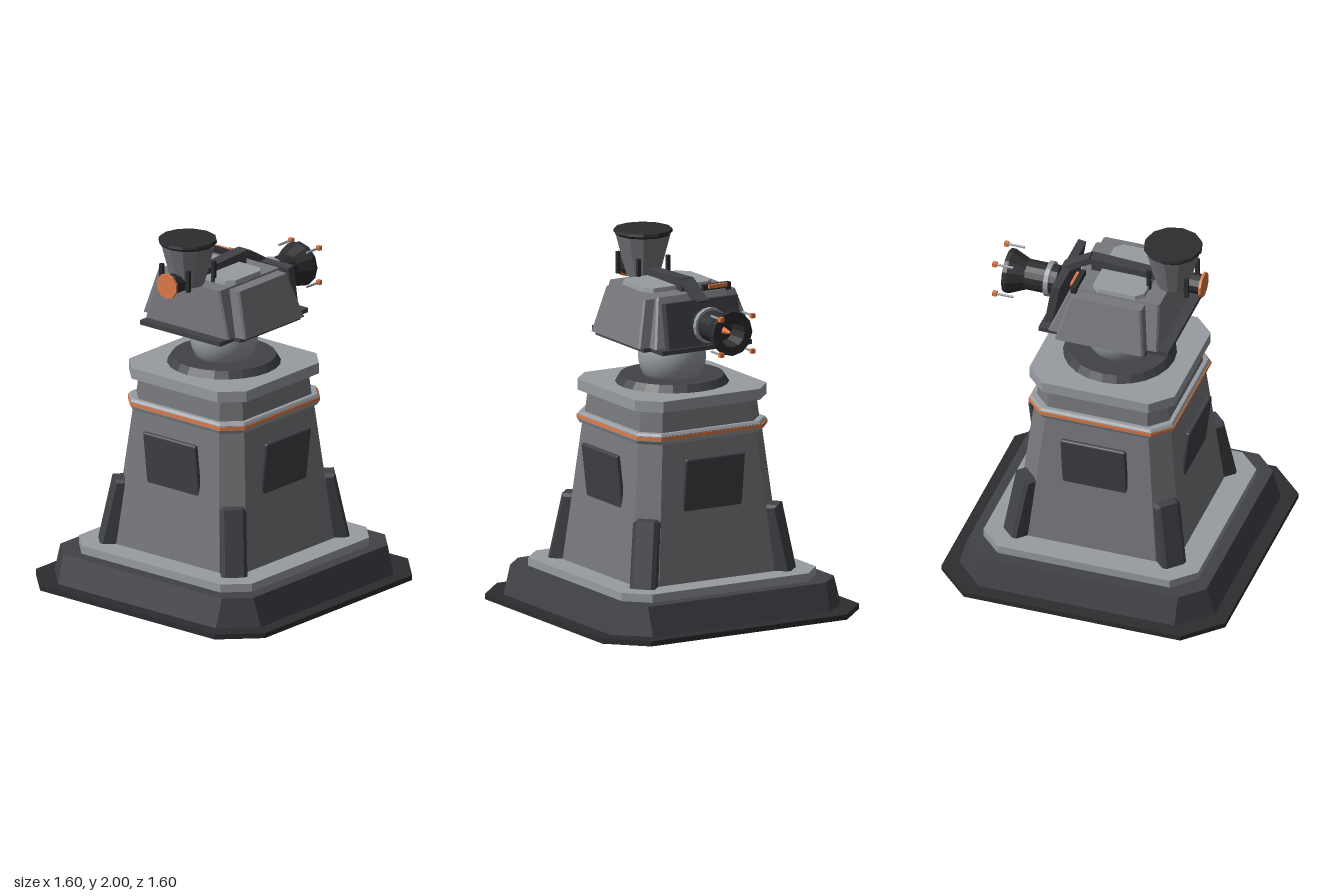
import * as THREE from 'three';
import { RoundedBoxGeometry } from 'three/addons/geometries/RoundedBoxGeometry.js';

const mat = (color, opts = {}) => {
  const m = new THREE.MeshStandardMaterial({ color, flatShading: true, ...opts });
  return m;
};

// Stacked chamfered rectangles; level = [y, half x, half z, chamfer, z offset]
function loft(levels) {
  const pos = [], idx = [], n = 8;
  for (const [y, x, z, c, cz = 0] of levels) {
    const ring = [[x, -z + c], [x, z - c], [x - c, z], [-x + c, z],
      [-x, z - c], [-x, -z + c], [-x + c, -z], [x - c, -z]];
    ring.forEach(([px, pz]) => pos.push(px, y, pz + cz));
  }
  const last = (levels.length - 1) * n;
  for (let k = 0; k < last; k += n) {
    for (let i = 0; i < n; i++) {
      const a = k + i, b = k + (i + 1) % n;
      idx.push(a, a + n, b, b, a + n, b + n);
    }
  }
  for (let i = 1; i < n - 1; i++) {
    idx.push(0, i, i + 1, last, last + i + 1, last + i);
  }
  const g = new THREE.BufferGeometry();
  g.setAttribute('position', new THREE.Float32BufferAttribute(pos, 3));
  g.setIndex(idx);
  g.computeVertexNormals();
  return g;
}

export function createModel() {
  const model = new THREE.Group();
  const black = mat(0x2c2d30), dark = mat(0x404247), mid = mat(0x77787c);
  const light = mat(0x989ca1), orange = mat(0xe07b48);
  const darkOpen = mat(0x2c2d30, { side: THREE.DoubleSide });

  const add = (name, geo, material, parent = model, x = 0, y = 0, z = 0) => {
    const m = new THREE.Mesh(geo, material);
    m.name = name;
    m.position.set(x, y, z);
    parent.add(m);
    return m;
  };
  const box = (w, h, d) => new THREE.BoxGeometry(w, h, d);
  const cyl = (top, bottom, h, n) => new THREE.CylinderGeometry(top, bottom, h, n);

  // Square pedestal tiers with chamfered corners
  const tiers = [
    ['groundPlate', black, [[0, 0.8, 0.8, 0.19], [0.028, 0.8, 0.8, 0.19]]],
    ['basePlinth', dark, [[0.028, 0.72, 0.72, 0.17], [0.185, 0.675, 0.675, 0.12]]],
    ['baseLedge', light, [[0.185, 0.605, 0.605, 0.12], [0.23, 0.605, 0.605, 0.12]]],
    ['column', mid, [[0.23, 0.465, 0.465, 0.105], [0.99, 0.385, 0.385, 0.095]]],
    ['band', light, [[0.985, 0.395, 0.395, 0.095], [1.005, 0.405, 0.405, 0.095],
      [1.032, 0.405, 0.405, 0.095], [1.045, 0.395, 0.395, 0.09]]],
    ['bandStripe', orange, [[1.01, 0.409, 0.409, 0.097], [1.028, 0.409, 0.409, 0.097]]],
    ['upperColumn', mid, [[1.045, 0.373, 0.373, 0.09], [1.165, 0.36, 0.36, 0.085]]],
    ['columnCap', light, [[1.165, 0.41, 0.41, 0.11], [1.225, 0.41, 0.41, 0.11]]],
  ];
  for (const [name, material, levels] of tiers) add(name, loft(levels), material);

  // Side panels leaning out at the top, and corner buttresses
  const profile = new THREE.Shape([[0.45, 0.23], [0.655, 0.23], [0.58, 0.57], [0.45, 0.57]]
    .map(p => new THREE.Vector2(...p)));
  const buttress = new THREE.ExtrudeGeometry(profile, {
    depth: 0.1, bevelSize: 0.016, bevelThickness: 0.02, bevelSegments: 1,
  });
  buttress.translate(0, 0, -0.05);
  const panel = new RoundedBoxGeometry(0.37, 0.33, 0.028, 2, 0.013);
  for (let i = 0; i < 4; i++) {
    const side = new THREE.Group();
    side.name = 'columnSide';
    side.rotation.y = i * Math.PI / 2;
    model.add(side);
    add('sidePanel', panel, dark, side, 0, 0.74, 0.426).rotation.x = 0.12;
    add('cornerButtress', buttress, dark, side).rotation.y = Math.PI / 4;
  }

  // Swivel joint
  add('swivelCollar', cyl(0.28, 0.305, 0.04, 24), dark, model, 0, 1.245);
  add('swivelBall', new THREE.SphereGeometry(0.182, 32, 20),
    mat(0x989ca1, { flatShading: false }), model, 0, 1.365);

  // Head with sloped core, raised side cheeks and a cross-shaped floor
  const head = new THREE.Group();
  head.name = 'head';
  model.add(head);
  add('headFloorLong', box(0.56, 0.025, 0.73), dark, head, 0, 1.477);
  add('headFloorWide', box(0.65, 0.023, 0.5), dark, head, 0, 1.477);
  add('headCore', loft([[1.488, 0.29, 0.31, 0.01], [1.745, 0.215, 0.25, 0.01, 0.045]]), mid, head);
  add('headCheeks', loft([[1.49, 0.357, 0.25, 0.01], [1.735, 0.285, 0.2, 0.01, 0.015]]), mid, head);
  add('roofPlate', loft([[1.735, 0.215, 0.148, 0.04, 0.052], [1.768, 0.21, 0.143, 0.04, 0.052]]), light, head);
  add('rearPlate', box(0.45, 0.25, 0.045), dark, head, 0, 1.605, -0.308).rotation.x = 0.16;

  // Roof spine: straight rail, then a section bending down to the rear plate
  add('spineFront', box(0.07, 0.035, 0.37), dark, head, 0, 1.793, 0.025).rotation.x = 0.05;
  add('spineRear', box(0.07, 0.035, 0.18), dark, head, 0, 1.757, -0.235).rotation.x = -0.54;
  add('spineFoot', box(0.06, 0.05, 0.3), dark, head, 0, 1.76, 0);
  add('roofLampHousing', box(0.17, 0.04, 0.03), black, head, -0.165, 1.755, -0.18);
  add('roofLamp', box(0.115, 0.02, 0.015), orange, head, -0.165, 1.766, -0.2);

  // Rear barrel; local +y runs backwards along the axis
  const barrel = new THREE.Group();
  barrel.name = 'barrel';
  barrel.position.set(0, 1.607, 0);
  barrel.rotation.x = -Math.PI / 2;
  model.add(barrel);
  const lathe = (pts, n) => new THREE.LatheGeometry(pts.map(p => new THREE.Vector2(...p)), n);
  add('barrelTube', cyl(0.083, 0.083, 0.18, 16), black, barrel, 0, 0.43);
  add('barrelRing', cyl(0.097, 0.097, 0.026, 16), light, barrel, 0, 0.392);
  add('muzzle', lathe([[0.083, 0.515], [0.122, 0.605], [0.122, 0.63],
    [0.075, 0.63], [0.06, 0.525], [0, 0.525]], 12), darkOpen, barrel);
  add('muzzleCore', cyl(0.006, 0.02, 0.08, 8), orange, barrel, 0, 0.565);
  for (const sx of [-1, 1]) {
    for (const sz of [-1, 1]) {
      add('muzzleProng', cyl(0.007, 0.007, 0.1, 6), light, barrel, sx * 0.097, 0.62, sz * 0.097);
      add('prongTip', box(0.024, 0.024, 0.024), orange, barrel, sx * 0.097, 0.672, sz * 0.097);
    }
  }

  // Funnel on the front of the roof with four posts
  const funnel = new THREE.Group();
  funnel.name = 'funnel';
  funnel.position.z = 0.3;
  model.add(funnel);
  add('funnelCone', cyl(0.15, 0.088, 0.235, 12), mid, funnel, 0, 1.862);
  add('funnelRim', lathe([[0.148, 1.972], [0.16, 1.985], [0.156, 2], [0, 2]], 12), darkOpen, funnel);
  for (const sx of [-1, 1]) {
    for (const sz of [-1, 1]) {
      add('funnelPost', box(0.02, 0.12, 0.022), black, funnel, sx * 0.092, 1.803, sz * 0.106);
    }
  }

  // Forward lamp
  add('lampStem', cyl(0.055, 0.055, 0.11, 10), black, model, 0, 1.773, 0.41).rotation.x = Math.PI / 2;
  add('lampDisc', cyl(0.07, 0.07, 0.014, 10), orange, model, 0, 1.773, 0.47).rotation.x = Math.PI / 2;

  return model;
}
